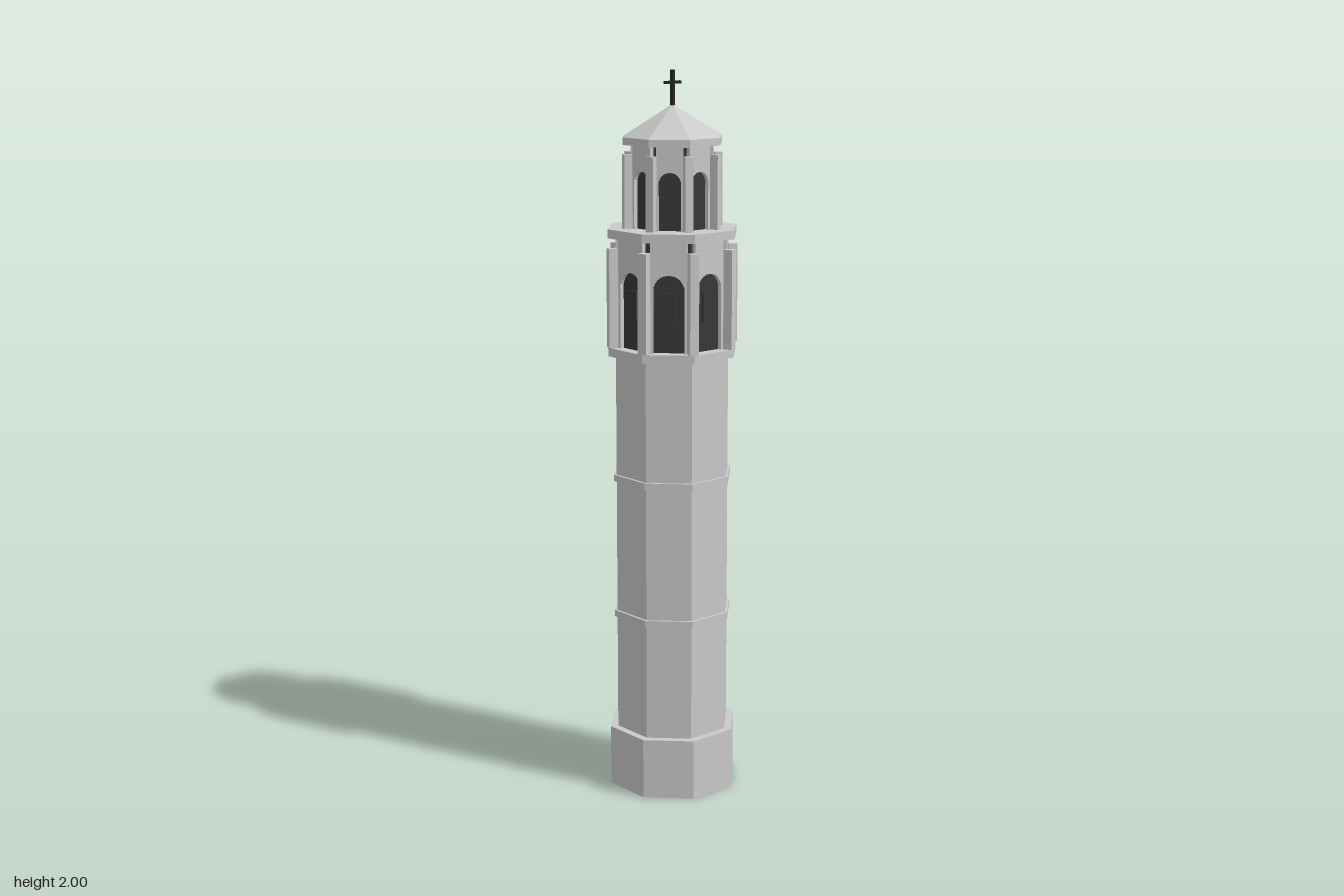
import * as THREE from 'three';

const stone = new THREE.MeshStandardMaterial({ color: 0xcacaca });
stone.name = 'pale stone';
const stoneShell = new THREE.MeshStandardMaterial({ color: 0xcacaca, side: THREE.DoubleSide });
stoneShell.name = 'pale stone shell';
const dark = new THREE.MeshStandardMaterial({ color: 0x383838 });
dark.name = 'dark opening';
const iron = new THREE.MeshStandardMaterial({ color: 0x242424 });
iron.name = 'dark iron';

const STEP = Math.PI / 4;
const toRadius = (apothem) => apothem / Math.cos(Math.PI / 8);

function add(parent, name, geometry, material, x = 0, y = 0, z = 0) {
  const mesh = new THREE.Mesh(geometry, material);
  mesh.name = name;
  mesh.position.set(x, y, z);
  parent.add(mesh);
  return mesh;
}

// Flat-faced eight-sided prism or pyramid with a side facing the front
function octagon(parent, name, bottom, top, y0, y1, material = stone, open = false) {
  const g = new THREE.CylinderGeometry(toRadius(top), toRadius(bottom), y1 - y0, 8, 1, open)
    .rotateY(Math.PI / 8).toNonIndexed();
  g.computeVertexNormals();
  return add(parent, name, g, material, 0, (y0 + y1) / 2, 0);
}

// Octagonal belfry: dark core, pierced wall panels and corner columns
function belfry(name, o) {
  const group = new THREE.Group();
  group.name = name;
  const depth = 0.012;
  octagon(group, 'darkCore', o.apothem - depth, o.apothem - depth, o.y0, o.y1, dark);

  // Wall panel with a segmental arched opening reaching the floor
  const h = o.y1 - o.y0, w = o.panelHalf, v = o.windowHalf;
  const s = new THREE.Shape();
  s.moveTo(-w, 0);
  s.lineTo(-v, 0);
  s.lineTo(-v, o.spring);
  s.quadraticCurveTo(-v * 0.75, o.crown, 0, o.crown);
  s.quadraticCurveTo(v * 0.75, o.crown, v, o.spring);
  s.lineTo(v, 0);
  s.lineTo(w, 0);
  s.lineTo(w, h);
  s.lineTo(-w, h);
  s.closePath();
  const panel = new THREE.ExtrudeGeometry(s, { depth, bevelEnabled: false, curveSegments: 5 });
  const column = new THREE.BoxGeometry(o.column, o.columnTop - o.y0, o.column);

  for (let i = 0; i < 8; i++) {
    const side = new THREE.Group();
    side.name = 'side' + (i + 1);
    side.rotation.y = i * STEP;
    add(side, 'archedPanel', panel, stone, 0, o.y0, o.apothem - depth);
    // Small raised plate in the opening
    if (o.plate) {
      add(side, 'openingPlate', new THREE.BoxGeometry(0.036, 0.08, 0.008), dark,
        0, o.y0 + 0.122, o.apothem - depth + 0.004);
    }
    group.add(side);

    const corner = new THREE.Group();
    corner.name = 'corner' + (i + 1);
    corner.rotation.y = (i + 0.5) * STEP;
    add(corner, 'column', column, stone, 0, (o.y0 + o.columnTop) / 2, o.columnRadius);
    group.add(corner);
  }
  return group;
}

export function createModel() {
  const tower = new THREE.Group();
  tower.name = 'bellTower';

  // Hollow base with a step around the shaft
  octagon(tower, 'base', 0.17, 0.17, 0, 0.17, stoneShell, true);
  const step = new THREE.RingGeometry(toRadius(0.15), toRadius(0.17), 8, 1)
    .rotateZ(Math.PI / 8).rotateX(-Math.PI / 2);
  add(tower, 'baseStep', step, stone, 0, 0.17, 0);

  // Shaft with two narrow bands
  octagon(tower, 'shaft', 0.15, 0.15, 0.17, 1.24, stoneShell, true);
  for (const y of [0.505, 0.895]) octagon(tower, 'shaftBand', 0.157, 0.157, y - 0.009, y + 0.009);

  // Two belfry tiers, each standing on a ledge
  octagon(tower, 'lowerLedge', 0.17, 0.17, 1.237, 1.26);
  tower.add(belfry('lowerBelfry', {
    y0: 1.26, y1: 1.56, apothem: 0.15, panelHalf: 0.05, windowHalf: 0.042,
    spring: 0.175, crown: 0.21, column: 0.025, columnTop: 1.53, columnRadius: 0.171, plate: true,
  }));
  octagon(tower, 'upperLedge', 0.17, 0.17, 1.558, 1.582);
  tower.add(belfry('upperBelfry', {
    y0: 1.582, y1: 1.807, apothem: 0.11, panelHalf: 0.036, windowHalf: 0.03,
    spring: 0.13, crown: 0.155, column: 0.022, columnTop: 1.78, columnRadius: 0.128, plate: false,
  }));

  // Pointed roof on a thin eave
  octagon(tower, 'eave', 0.13, 0.13, 1.805, 1.825);
  octagon(tower, 'roof', 0.13, 0, 1.825, 1.91);

  // Cross on the peak
  const cross = new THREE.Group();
  cross.name = 'cross';
  add(cross, 'crossPost', new THREE.BoxGeometry(0.01, 0.1, 0.01), iron, 0, 1.95, 0);
  add(cross, 'crossArm', new THREE.BoxGeometry(0.056, 0.008, 0.007), iron, 0, 1.967, 0);
  tower.add(cross);

  return tower;
}
